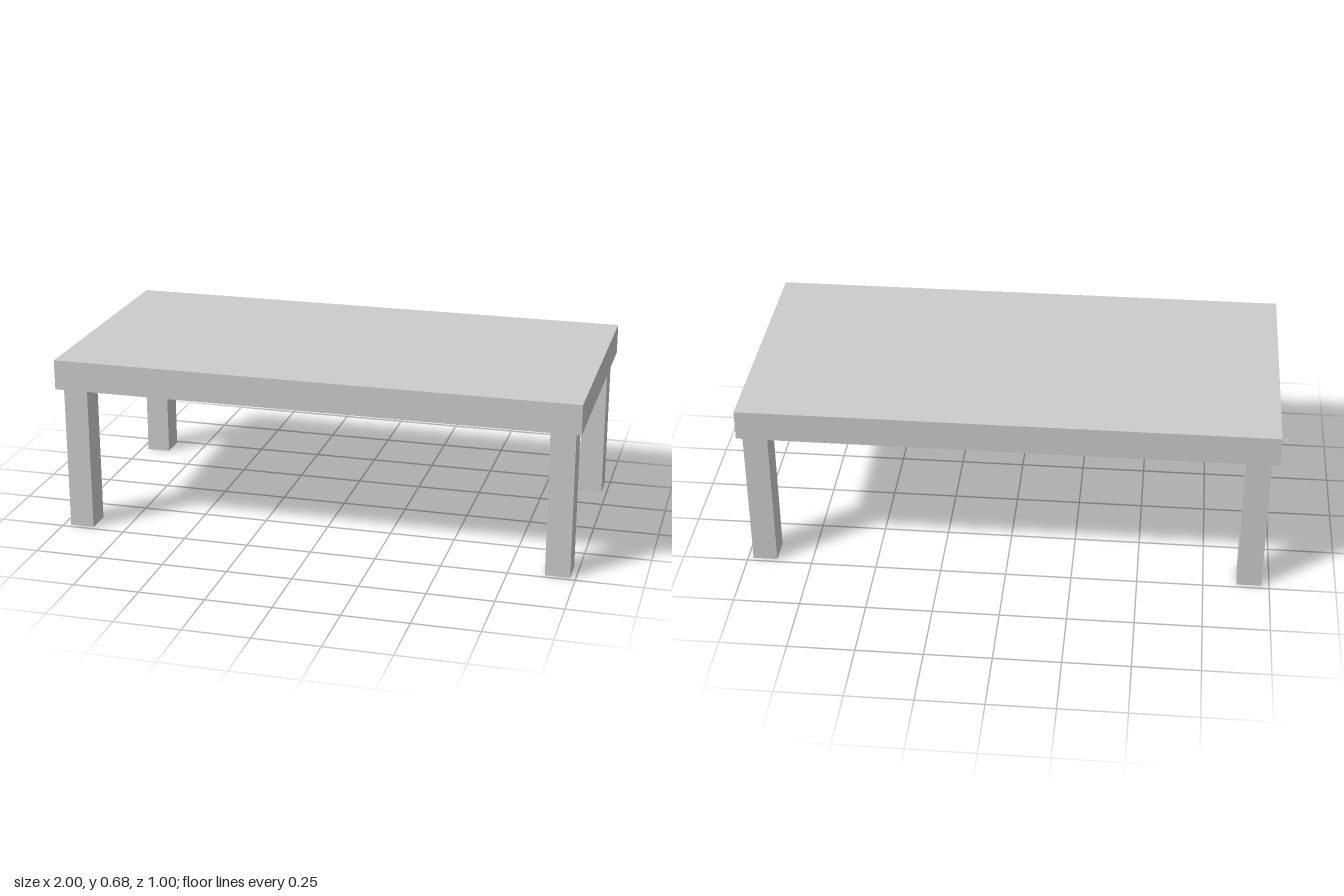
import * as THREE from 'three';

const TOP_Y = 0.675, UNDER_Y = 0.56;
const LEG_W = 0.093, LEG_D = 0.104;

export function createModel() {
  const table = new THREE.Group();
  table.name = 'table';
  const material = new THREE.MeshStandardMaterial({ color: 0xcccccc, flatShading: true });
  const legMaterial = material.clone();
  legMaterial.side = THREE.DoubleSide;

  // Thick rectangular slab
  const top = new THREE.Mesh(new THREE.BoxGeometry(2, TOP_Y - UNDER_Y, 1), material);
  top.name = 'tableTop';
  top.position.y = (TOP_Y + UNDER_Y) / 2;
  table.add(top);

  // Square hollow legs, open at the foot
  const legGeometry = new THREE.CylinderGeometry(Math.SQRT1_2, Math.SQRT1_2, UNDER_Y, 4, 1, true)
    .rotateY(Math.PI / 4)
    .scale(LEG_W, 1, LEG_D)
    .translate(0, UNDER_Y / 2, 0);

  for (const [side, x] of [['Right', -0.925], ['Left', 0.933]]) {
    for (const [end, z] of [['front', 0.432], ['back', -0.432]]) {
      const leg = new THREE.Mesh(legGeometry, legMaterial);
      leg.name = `${end}${side}Leg`;
      leg.position.set(x, 0, z);
      table.add(leg);
    }
  }
  return table;
}
